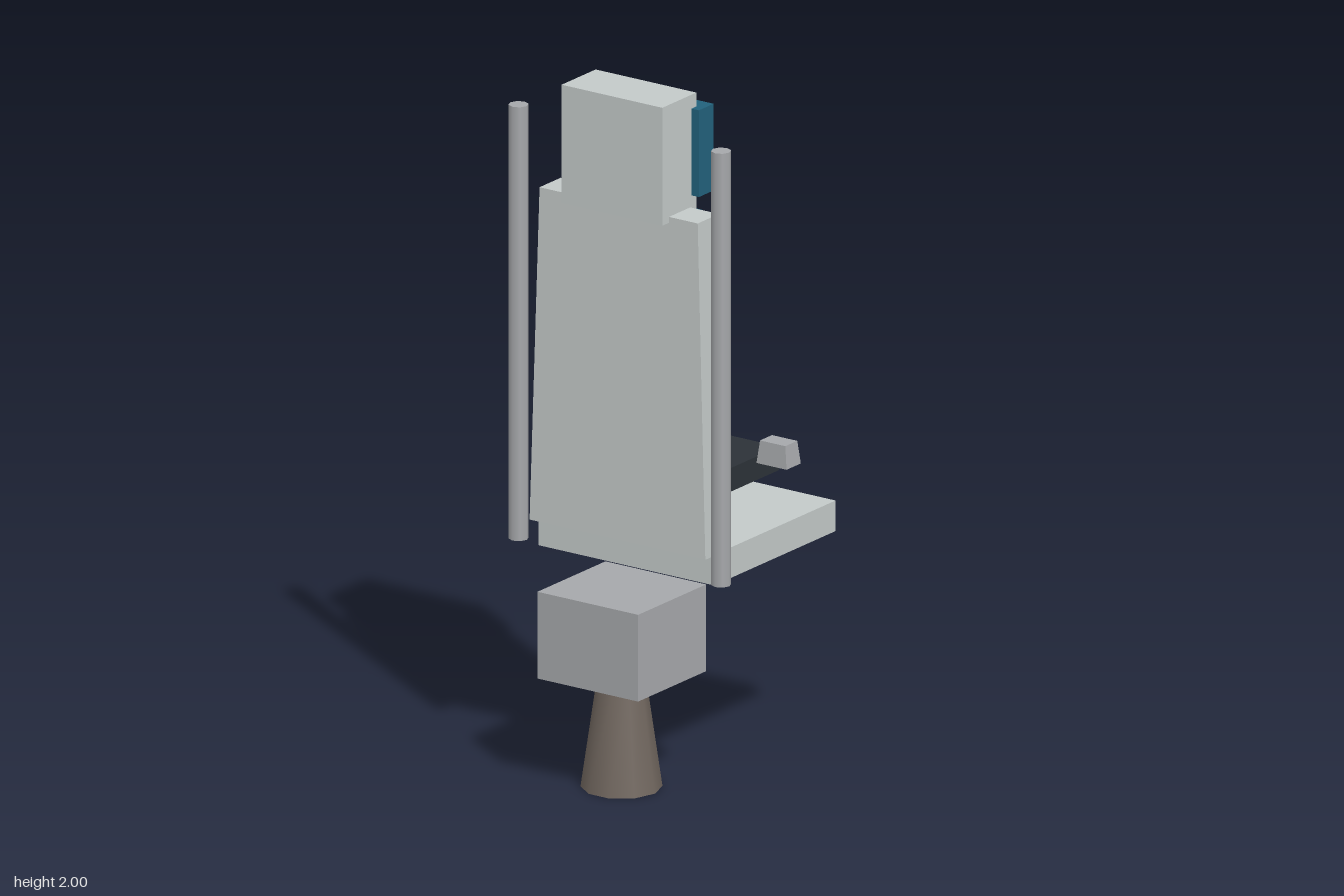
import * as THREE from 'three';

const mat = (name, color) => {
  const m = new THREE.MeshStandardMaterial({ color });
  m.name = name;
  return m;
};

export function createModel() {
  const shell = mat('pale grey shell', 0xc4cac9);
  const metal = mat('grey metal', 0xa6a8ab);
  const pad = mat('blue padding', 0x22627c);
  const cushionDark = mat('dark cushion', 0x2c3238);
  const nozzleBrown = mat('brown nozzle', 0x71675f);
  nozzleBrown.side = THREE.DoubleSide;

  const model = new THREE.Group();
  model.name = 'thrusterSeat';

  const add = (name, geometry, material) => {
    const mesh = new THREE.Mesh(geometry, material);
    mesh.name = name;
    model.add(mesh);
    return mesh;
  };

  // Box from its extents; taper shrinks the top face about its centre.
  const block = (name, material, [x0, x1], [y0, y1], [z0, z1], taper = 1) => {
    const g = new THREE.BoxGeometry(x1 - x0, y1 - y0, z1 - z0);
    const p = g.attributes.position;
    for (let i = 0; i < p.count; i++) {
      if (p.getY(i) > 0) {
        p.setX(i, p.getX(i) * taper);
        p.setZ(i, p.getZ(i) * taper);
      }
    }
    g.computeVertexNormals();
    add(name, g, material).position.set((x0 + x1) / 2, (y0 + y1) / 2, (z0 + z1) / 2);
  };

  // Seat, backrest and head block
  block('seat', shell, [-0.295, 0.295], [0.63, 0.718], [-0.375, 0.195]);
  block('backrest', shell, [-0.295, 0.295], [0.715, 1.677], [0.125, 0.236], 0.9);
  block('headBlock', shell, [-0.169, 0.169], [1.66, 2], [0.102, 0.262]);

  // Padding
  block('headPad', pad, [-0.194, 0.194], [1.71, 1.96], [0.056, 0.125]);
  block('seatCushion', cushionDark, [-0.194, 0.194], [0.82, 0.888], [-0.25, -0.023]);
  block('underSeatBox', pad, [-0.08, 0.08], [0.555, 0.632], [-0.215, -0.105]);

  // Engine box and flared nozzle
  block('engineBox', metal, [-0.169, 0.169], [0.32, 0.57], [0.056, 0.375]);
  const nozzle = add('nozzle', new THREE.CylinderGeometry(0.068, 0.112, 0.307, 10, 1, true), nozzleBrown);
  nozzle.position.set(0, 0.1535, 0.217);
  nozzle.rotation.y = Math.PI / 2;

  // Mirrored pairs: harness straps, hand grips and side bars
  for (const [side, s] of [['left', 1], ['right', -1]]) {
    const span = (a, b) => (s > 0 ? [a, b] : [-b, -a]);
    block(side + 'Strap', pad, span(0.097, 0.152), [1.02, 1.645], [0.051, 0.086]);
    block(side + 'HandGrip', metal, span(0.272, 0.373), [0.915, 0.98], [-0.103, -0.036], 0.84);
    const bar = add(side + 'Bar', new THREE.CylinderGeometry(0.028, 0.028, 1.25, 8), metal);
    bar.position.set(s * 0.34, 1.275, 0.225);
  }

  return model;
}
